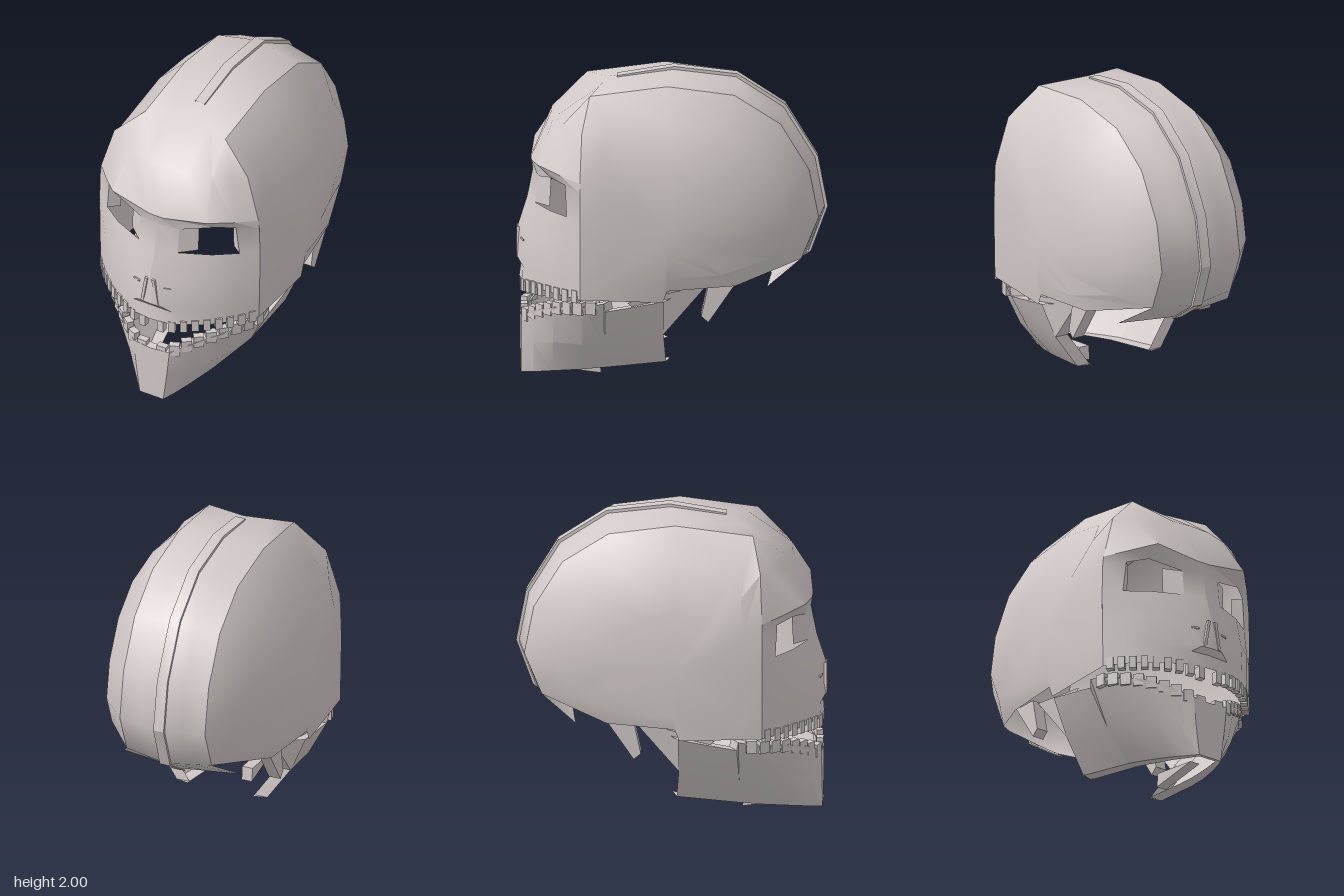
import * as THREE from 'three';
import { toCreasedNormals } from 'three/addons/utils/BufferGeometryUtils.js';

const bone = new THREE.MeshStandardMaterial({ color: 0xd2cac8, side: THREE.DoubleSide });
bone.name = 'bone';

// Surface through rows of [x, y, z]; cells for which skip(row, col) holds stay open
function surface(rows, crease = 0.6, skip = () => false) {
  const pos = [];
  for (let r = 0; r < rows.length - 1; r++) {
    for (let c = 0; c < rows[r].length - 1; c++) {
      if (skip(r, c)) continue;
      const p = rows[r][c], q = rows[r + 1][c], s = rows[r + 1][c + 1], t = rows[r][c + 1];
      pos.push(...p, ...q, ...s, ...p, ...s, ...t);
    }
  }
  const g = new THREE.BufferGeometry();
  g.setAttribute('position', new THREE.Float32BufferAttribute(pos, 3));
  g.computeVertexNormals();
  return toCreasedNormals(g, crease);
}
const flip = row => row.map(([x, y, z]) => [-x, y, z]).reverse();
const whole = row => [...flip(row).slice(0, -1), ...row]; // half row starting at x = 0
const lerp = (a, b, t) => a.map((v, i) => v + (b[i] - v) * t);

export function createModel() {
  const model = new THREE.Group();
  model.name = 'skull';
  const add = (name, geometry) => {
    const mesh = new THREE.Mesh(geometry, bone);
    mesh.name = name;
    model.add(mesh);
    return mesh;
  };
  const addPair = (name, rows, crease) => {
    add('left' + name, surface(rows, crease));
    add('right' + name, surface(rows.map(flip), crease));
  };
  const slab = (points, depth) => { // side profile of [z, y], extruded along x
    const shape = new THREE.Shape(points.map(([z, y]) => new THREE.Vector2(z, y)));
    return new THREE.ExtrudeGeometry(shape, { depth, bevelEnabled: false })
      .rotateY(-Math.PI / 2).translate(depth / 2, 0, 0);
  };

  // Crown band, from forehead over the top to the nape
  const edge = [[.29, 1.88, .53], [.29, 1.94, .04], [.29, 1.88, -.38], [.29, 1.69, -.67],
    [.29, 1.39, -.85], [.29, 1.08, -.91], [.29, .81, -.8], [.41, .66, -.58]];
  const crest = [[0, 1.93, .4], [0, 1.985, -.01], [0, 1.935, -.4], [0, 1.735, -.7],
    [0, 1.4, -.9], [0, 1.08, -.96], [0, .79, -.855], [0, .635, -.62]];
  const band = crest.map((p, i) => [p, lerp(p, edge[i], .5), edge[i], edge[i], edge[i]]);

  // Forehead down to the brow, continuing the crown
  const brow = [[0, 1.4, .89], [.05, 1.4, .89], [.34, 1.45, .86], [.47, 1.415, .72], [.572, 1.39, .6]];
  const forehead = [
    [[0, 1.7, .765], [.14, 1.7, .755], [.3, 1.69, .71], [.41, 1.69, .645], [.485, 1.69, .585]],
    brow
  ];
  add('foreheadAndCrown', surface([...band.reverse(), ...forehead].map(whole), 0.8));

  // Face: half rows from the brow down to the upper lip, open at the eyes
  const face = [
    brow,
    [[0, 1.33, .88], [.14, 1.32, .85], [.35, 1.37, .78], [.46, 1.35, .69], [.578, 1.33, .6]],
    [[0, 1.15, .915], [.14, 1.15, .87], [.34, 1.15, .78], [.48, 1.15, .68], [.583, 1.15, .6]],
    [[0, .96, .975], [.14, .95, .93], [.34, .95, .83], [.48, .95, .71], [.581, .95, .6]],
    [[0, .77, .983], [.08, .77, .975], [.34, .77, .84], [.48, .77, .71], [.578, .77, .6]],
    [[0, .735, .95], [.14, .73, .945], [.34, .73, .84], [.48, .73, .71], [.577, .73, .6]],
    [[0, .635, .965], [.14, .635, .95], [.34, .635, .84], [.48, .635, .71], [.575, .63, .6]]
  ];
  const eyeCells = [1, 2, 5, 6];
  add('face', surface(face.map(whole), 0.5, (r, c) => r === 1 && eyeCells.includes(c)));

  // Raised ridge along the crest, rising out of the crown at its front end
  const ridge = crest.map((p, i) => {
    const start = i === 0 ? [0, 1.942, .35] : p;
    const k = i === 0 ? 1 : 1.015;
    const y = 1.08 + (start[1] - 1.08) * k, z = start[2] * k;
    const foot = lerp(start, edge[i], i === 0 ? 0 : .12);
    return whole([[0, y, z], [.035, y, z], [.035, foot[1] - .01, foot[2]]]);
  });
  add('crestRidge', surface(ridge.reverse(), 0.5));

  // Domed side panels: rings shrinking from the outline to the widest point
  const outline = [[.575, .63, .6], [.583, 1.08, .6], [.572, 1.39, .6], [.485, 1.69, .585],
    ...edge.slice(0, 7), [.52, .7, -.38], [.58, .685, .05], [.58, .61, .08], [.575, .63, .6]];
  const centre = [.607, 1.08, .05];
  const rings = [[0, 0], [.22, .57], [.58, .89], [1, 1]].map(([t, bulge]) => outline.map(p => {
    const [, y, z] = lerp(p, centre, t);
    return [p[0] + (centre[0] - p[0]) * bulge, y, z];
  }));
  addPair('CraniumSide', rings, 0.8);

  // Short walls inside the eye openings
  addPair('InnerSocketWall',
    [[[.14, 1.32, .85], [.24, 1.34, .77]], [[.14, 1.15, .87], [.24, 1.15, .78]]]);
  addPair('OuterSocketWall',
    [[[.41, 1.36, .64], [.46, 1.35, .69]], [[.41, 1.15, .63], [.48, 1.15, .68]]]);

  // Nose wedges and nostril slits
  for (const s of [-1, 1]) {
    const wedge = new THREE.Shape([[.015, .96], [.035, .96], [.065, .77], [.045, .78]]
      .map(([x, y]) => new THREE.Vector2(s * x, y)));
    add('noseWedge', new THREE.ExtrudeGeometry(wedge, { depth: .03, bevelEnabled: false }))
      .position.z = .952;
    const slit = add('nostrilSlit', new THREE.BoxGeometry(.05, .012, .012));
    slit.position.set(s * .11, .9, .946);
    slit.rotation.y = s * 0.3;
  }

  // Jaw: half rows with an inner ledge at the rim and along the base
  const rim = [[0, .4, .96], [.13, .41, .955], [.25, .475, .88], [.4, .535, .76],
    [.535, .57, .58], [.56, .6, .45], [.555, .545, .44], [.56, .61, .07]];
  const middle = [[0, .22, .96], [.11, .22, .955], [.2, .25, .88], [.31, .28, .76],
    [.4, .29, .58], [.425, .3, .45], [.427, .3, .44], [.46, .37, .07]];
  const base = [[0, .025, .955], [.085, .025, .955], [.12, .035, .88], [.17, .055, .76],
    [.23, .08, .58], [.26, .1, .45], [.262, .1, .44], [.31, .15, .05]];
  const inward = (row, k, dz) => row.map(([x, y, z]) => [x * k, y + .005, z - dz]);
  add('jaw', surface([inward(rim, .88, .05), rim, middle, base, inward(base, .72, .03)]
    .map(whole), 0.45));

  // Thick jaw branches rising behind the cheeks, closed along the rear edge
  addPair('JawBranch', [
    [[.54, .6, .3], [.47, .7, -.21], [.39, .7, -.21], [.46, .6, .3]],
    [[.46, .37, .07], [.46, .37, .07], [.37, .37, .07], [.37, .37, .07]],
    [[.31, .15, .05], [.31, .15, .05], [.22, .15, .05], [.22, .15, .05]]
  ]);

  // Bony prongs behind the jaw and the keel under the chin
  for (const s of [-1, 1]) {
    add('skullProng', slab([[-.21, .71], [-.38, .71], [-.21, .46], [-.165, .5]], .08))
      .position.x = s * .47;
  }
  add('chinKeel', slab([[.8, .05], [.46, .09], [.45, 0]], .07));

  // Teeth follow the upper lip and the jaw rim
  function teeth(name, points, count, width) {
    const curve = new THREE.CatmullRomCurve3(points.map(p => new THREE.Vector3(...p)));
    for (let i = 0; i < count; i++) {
      const t = (i + 0.5) / count;
      const p = curve.getPointAt(t), d = curve.getTangentAt(t);
      for (const s of [-1, 1]) {
        const tooth = add(name, new THREE.BoxGeometry(width, .08, .045));
        tooth.position.set(s * p.x, p.y, p.z);
        tooth.rotation.y = s * Math.atan2(-d.z, d.x);
      }
    }
  }
  teeth('upperTooth', [[.03, .59, .94], [.13, .61, .93], [.325, .635, .83], [.472, .64, .7],
    [.558, .65, .595]], 9, .045);
  teeth('lowerTooth', [[.03, .385, .935], [.13, .415, .925], [.24, .47, .855], [.385, .53, .735],
    [.515, .56, .57], [.535, .57, .49]], 9, .066);

  return model;
}
